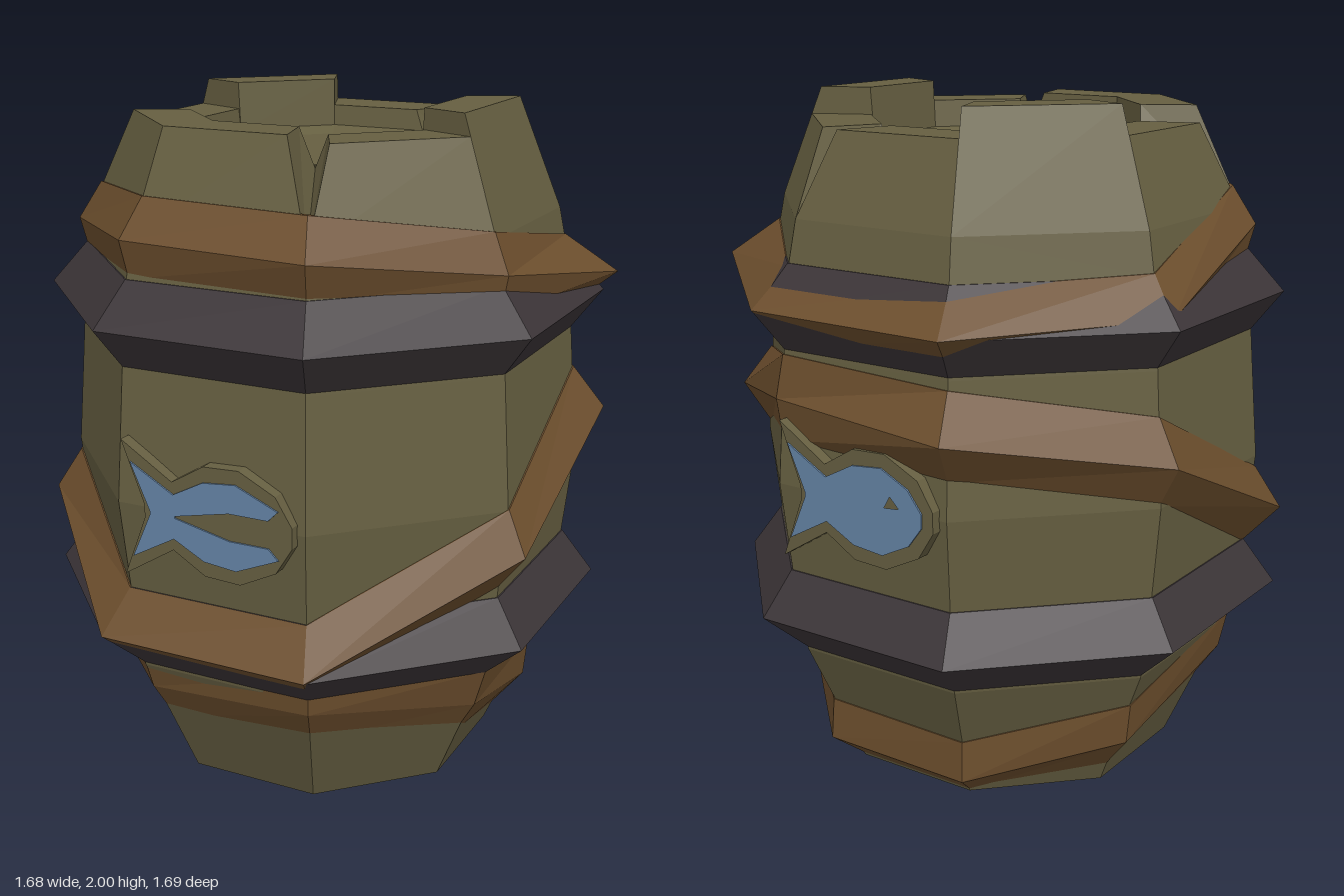
import * as THREE from 'three';

const SIDES = 8, STEP = Math.PI / 4;
const mat = (name, color, extra = {}) => Object.assign(
  new THREE.MeshStandardMaterial({ color, flatShading: true, ...extra }), { name });

// barrel profile: [radius, height]
const PROFILE = [[0.52, 0], [0.61, 0.2], [0.70, 0.4], [0.74, 0.66], [0.77, 0.93],
  [0.74, 1.31], [0.715, 1.56], [0.69, 1.68], [0.65, 1.78]];
const wallRadius = (y) => {
  for (let i = 1; i < PROFILE.length; i++) {
    const [r0, y0] = PROFILE[i - 1], [r1, y1] = PROFILE[i];
    if (y <= y1) return r0 + (r1 - r0) * (y - y0) / (y1 - y0);
  }
  return 0.65;
};

const polar = (r, y, a) => new THREE.Vector3(r * Math.sin(a), y, r * Math.cos(a));

// flat-shaded geometry from a list of quads (corners counter-clockwise)
function quadGeometry(quads) {
  const pts = [];
  for (const [a, b, c, d] of quads) pts.push(a, b, c, a, c, d);
  const g = new THREE.BufferGeometry().setFromPoints(pts);
  g.computeVertexNormals();
  return g;
}

// closed eight-sided band; section(i) gives the [r, y] loop at corner i, bottom to top
function bandGeometry(section) {
  const quads = [];
  for (let i = 0; i < SIDES; i++) {
    const j = (i + 1) % SIDES, s = section(i), t = section(j);
    for (let k = 0; k < s.length; k++) {
      const n = (k + 1) % s.length;
      quads.push([polar(...s[k], i * STEP), polar(...t[k], j * STEP),
        polar(...t[n], j * STEP), polar(...s[n], i * STEP)]);
    }
  }
  return quadGeometry(quads);
}

// ridge-shaped section that hugs the wall
function ridge(y, r, half) {
  const lo = Math.max(0, y - half), hi = y + half;
  return [[wallRadius(lo) - 0.008, lo], [r, y], [wallRadius(hi) + 0.004, hi],
    [wallRadius(hi) - 0.012, hi]];
}

// one merlon of the broken rim between corners i and i + 1
function rimBlock(i, top, cutA, cutB) {
  const a = i * STEP, b = (i + 1) * STEP;
  const pair = (r, y, ca, cb) => {
    const p = polar(r, y, a), q = polar(r, y, b);
    return [p.clone().lerp(q, ca), q.clone().lerp(p, cb)];
  };
  const rTop = 0.69 - (top - 1.68) * 0.4;
  const [ob0, ob1] = pair(0.69, 1.68, 0, 0);
  const [ot0, ot1] = pair(rTop, top, cutA, cutB);
  const [it0, it1] = pair(0.41, top, cutA, cutB);
  const [ib0, ib1] = pair(0.40, 1.85, 0, 0);
  return quadGeometry([
    [ob0, ob1, ot1, ot0], [ot0, ot1, it1, it0], [it0, it1, ib1, ib0],
    [ob0, ot0, it0, ib0], [ob1, ib1, it1, ot1],
  ]);
}

const shapeOf = (pts) => new THREE.Shape(pts.map(([x, y]) => new THREE.Vector2(x, y)));
const mirrorY = (pts) => pts.concat(pts.slice().reverse().map(([x, y]) => [x, -y]));

// fish emblem: bevelled backing plate with a thin coloured fish; facing +z, head to +x
function fishEmblem(name, wood, blue, split) {
  const g = new THREE.Group();
  g.name = name;
  const edge = mirrorY([[-0.19, 0.02], [-0.26, 0.2], [-0.1, 0.1], [0.0, 0.16], [0.11, 0.165],
    [0.22, 0.11], [0.27, 0.03]]);
  const plate = new THREE.Mesh(new THREE.ExtrudeGeometry(shapeOf(edge),
    { depth: 0.04, bevelEnabled: false }), wood);
  plate.position.z = -0.04;
  plate.name = name + 'Plate';
  const half = [[-0.17, 0.005], [-0.23, 0.14], [-0.095, 0.065], [0.0, 0.115], [0.1, 0.125]];
  const outline = split
    ? mirrorY([...half, [0.23, 0.07], [0.2, 0.04], [0.08, 0.04], [-0.09, 0.003]])
    : mirrorY([...half, [0.19, 0.08], [0.235, 0.02]]);
  const shape = shapeOf(outline);
  if (!split) {
    shape.holes.push(new THREE.Path([[0.11, 0.015], [0.13, 0.05], [0.16, 0.02]]
      .map(([x, y]) => new THREE.Vector2(x, y))));
  }
  const fish = new THREE.Mesh(new THREE.ExtrudeGeometry(shape,
    { depth: 0.005, bevelEnabled: false }), blue);
  fish.name = name + 'Paint';
  g.add(plate, fish);
  return g;
}

export function createModel() {
  const root = new THREE.Group();
  root.name = 'barrel';
  const wood = mat('olive wood', 0x665f41, { side: THREE.DoubleSide });
  const iron = mat('dark iron', 0x3c3538);
  const strap = mat('brown strap', 0x6c4e2d);
  const blue = mat('blue paint', 0x6584a6);
  const add = (name, geometry, material) => {
    const m = new THREE.Mesh(geometry, material);
    m.name = name;
    root.add(m);
    return m;
  };

  // open-bottomed body
  add('barrelWall', new THREE.LatheGeometry(PROFILE.slice(0, -1)
    .map(([r, y]) => new THREE.Vector2(r, y)), SIDES), wood);

  // broken rim: height of each block and cut at its two corners
  const rim = [[1.96, 0, 0.15], [1.94, 0.12, 0], [2.0, 0, 0], [1.92, 0, 0.1],
    [1.92, 0.1, 0], [2.0, 0, 0], [1.92, 0, 0.12], [1.96, 0.15, 0]];
  rim.forEach(([top, ca, cb], i) => add('rimBlock' + i, rimBlock(i, top, ca, cb), wood));

  // sunken lid
  add('lid', new THREE.LatheGeometry([[0.405, 1.86], [0.34, 1.84], [0, 1.84]]
    .map(([r, y]) => new THREE.Vector2(r, y)), SIDES), wood);

  // level iron hoops
  add('lowerHoop', bandGeometry(() => ridge(0.53, 0.84, 0.13)), iron);
  add('upperHoop', bandGeometry(() => ridge(1.435, 0.83, 0.125)), iron);

  // crooked straps: [ridge height, ridge radius] at each corner, from the front towards +x
  const straps = {
    upperStrap: [[1.67, 0.735], [1.66, 0.75], [1.59, 0.74], [1.49, 0.87],
      [1.44, 0.835], [1.44, 0.85], [1.46, 0.80], [1.63, 0.74]],
    middleStrap: [[0.535, 0.848], [0.535, 0.85], [0.81, 0.84], [1.07, 0.85],
      [1.18, 0.77], [1.16, 0.85], [1.06, 0.84], [0.77, 0.85]],
    lowerStrap: [[0.32, 0.675], [0.36, 0.70], [0.29, 0.665], [0.16, 0.64],
      [0.09, 0.63], [0.08, 0.62], [0.17, 0.64], [0.3, 0.68]],
  };
  for (const [name, pts] of Object.entries(straps)) {
    const half = name === 'upperStrap' ? 0.11 : 0.125;
    add(name, bandGeometry((i) => ridge(...pts[i], half)), strap);
  }

  // fish on a front facet, the opposite back facet and the underside
  const front = fishEmblem('frontFish', wood, blue, true);
  const back = fishEmblem('backFish', wood, blue, false);
  [[front, STEP / 2], [back, STEP / 2 + Math.PI]].forEach(([f, a]) => {
    f.position.copy(polar(0.74, 0.93, a));
    f.rotation.y = a;
  });
  const under = fishEmblem('undersideFish', wood, blue, false);
  under.rotation.x = Math.PI / 2;
  under.position.set(0.04, 0.006, 0);
  under.scale.set(1.1, 1.1, 1);
  root.add(front, back, under);
  return root;
}
